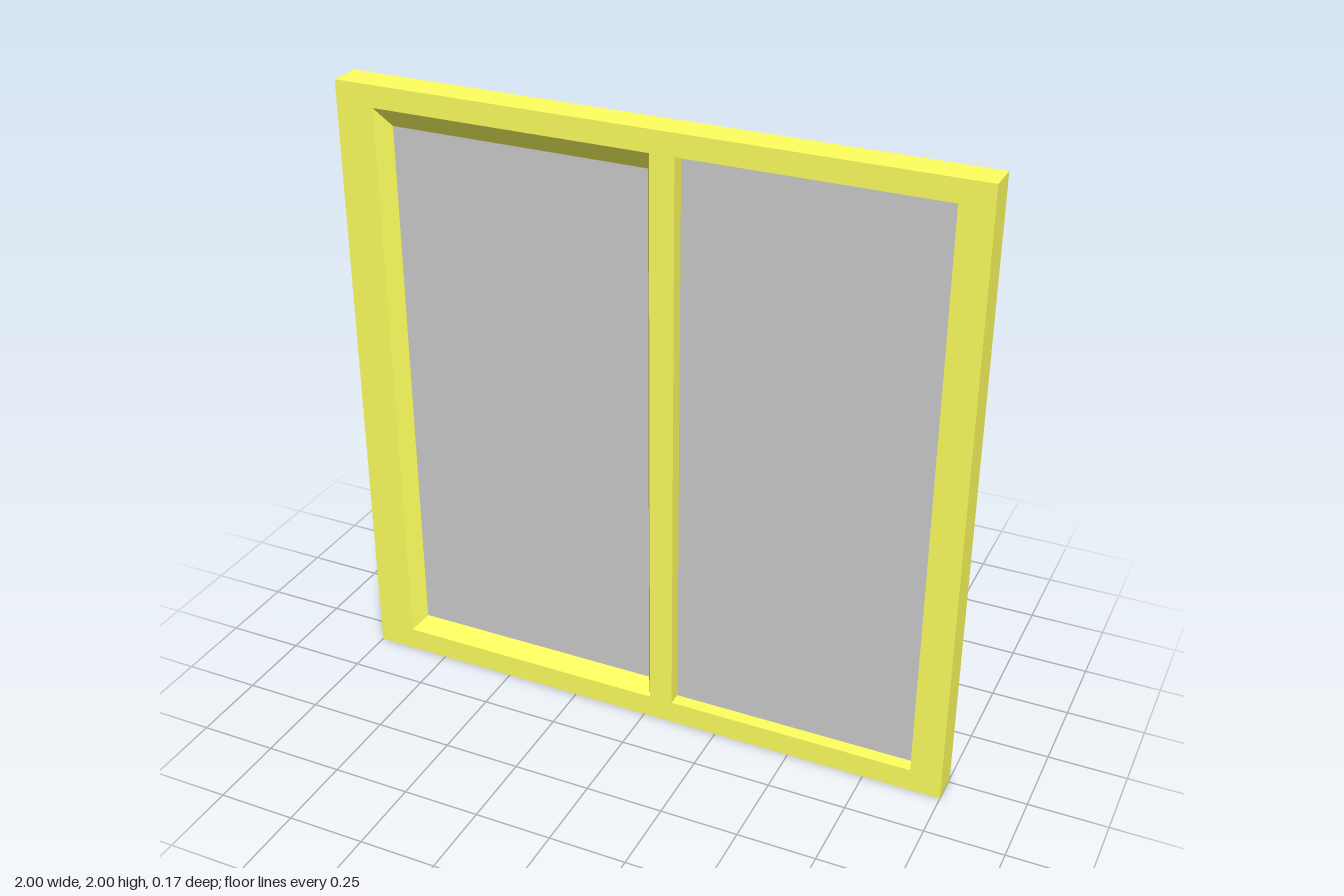
import * as THREE from 'three';

const frameMat = new THREE.MeshStandardMaterial({ color: 0xfeff5e });
const glassMat = new THREE.MeshStandardMaterial({ color: 0xcccccc });

// Box given by its limits on each axis
function block(name, mat, x0, x1, y0, y1, z0, z1) {
  const mesh = new THREE.Mesh(new THREE.BoxGeometry(x1 - x0, y1 - y0, z1 - z0), mat);
  mesh.position.set((x0 + x1) / 2, (y0 + y1) / 2, (z0 + z1) / 2);
  mesh.name = name;
  return mesh;
}

function rectPath(target, x0, x1, y0, y1) {
  target.moveTo(x0, y0).lineTo(x1, y0).lineTo(x1, y1).lineTo(x0, y1).closePath();
  return target;
}

// Mitred rectangular surround through rings of [x0, x1, y0, y1, z]
function surround(rings) {
  const corners = rings.map(([x0, x1, y0, y1, z]) =>
    [[x0, y0, z], [x1, y0, z], [x1, y1, z], [x0, y1, z]]);
  const pos = [];
  for (let i = 0; i < rings.length - 1; i++) {
    for (let j = 0; j < 4; j++) {
      const k = (j + 1) % 4;
      const a = corners[i][j], b = corners[i][k];
      const c = corners[i + 1][k], d = corners[i + 1][j];
      pos.push(...a, ...d, ...c, ...a, ...c, ...b);
    }
  }
  const geo = new THREE.BufferGeometry();
  geo.setAttribute('position', new THREE.Float32BufferAttribute(pos, 3));
  geo.computeVertexNormals();
  return geo;
}

export function createModel() {
  const model = new THREE.Group();
  model.name = 'window';
  const back = -0.015, front = 0.087, sashBack = -0.05;
  const low = 0.075, high = 1.93;

  // Outer frame with two openings and a central mullion
  const outline = rectPath(new THREE.Shape(), -1, 1, 0, 2);
  outline.holes.push(rectPath(new THREE.Path(), -0.875, 0.02, low, high));
  outline.holes.push(rectPath(new THREE.Path(), 0.097, 0.9, low, high));
  const frame = new THREE.Mesh(
    new THREE.ExtrudeGeometry(outline, { depth: front - back, bevelEnabled: false }), frameMat);
  frame.position.z = back;
  frame.name = 'outerFrame';
  model.add(frame);

  // Opening sash: raised at the back, splayed towards the front
  const sash = new THREE.Group();
  sash.name = 'openingSash';
  const sashFrame = new THREE.Mesh(surround([
    [-0.9, 0.05, low, high, back],
    [-0.9, 0.05, low, high, sashBack],
    [-0.84, -0.005, 0.115, 1.865, sashBack],
    [-0.84, -0.005, 0.115, 1.865, 0.04],
    [-0.875, 0.02, low, high, front],
  ]), frameMat);
  sashFrame.name = 'sashFrame';
  sash.add(sashFrame, block('sashGlass', glassMat, -0.84, -0.005, 0.115, 1.865, 0, 0.039));

  // Handle on the back of the sash
  const handle = new THREE.Group();
  handle.name = 'handle';
  handle.add(
    block('handleStem', frameMat, 0.015, 0.031, 0.967, 0.985, -0.077, sashBack),
    block('handleLever', frameMat, 0.015, 0.031, 0.868, 0.985, -0.087, -0.077));
  sash.add(handle);
  model.add(sash);

  // Fixed pane
  model.add(block('fixedGlass', glassMat, 0.097, 0.9, low, high, 0.03, 0.042));
  return model;
}
